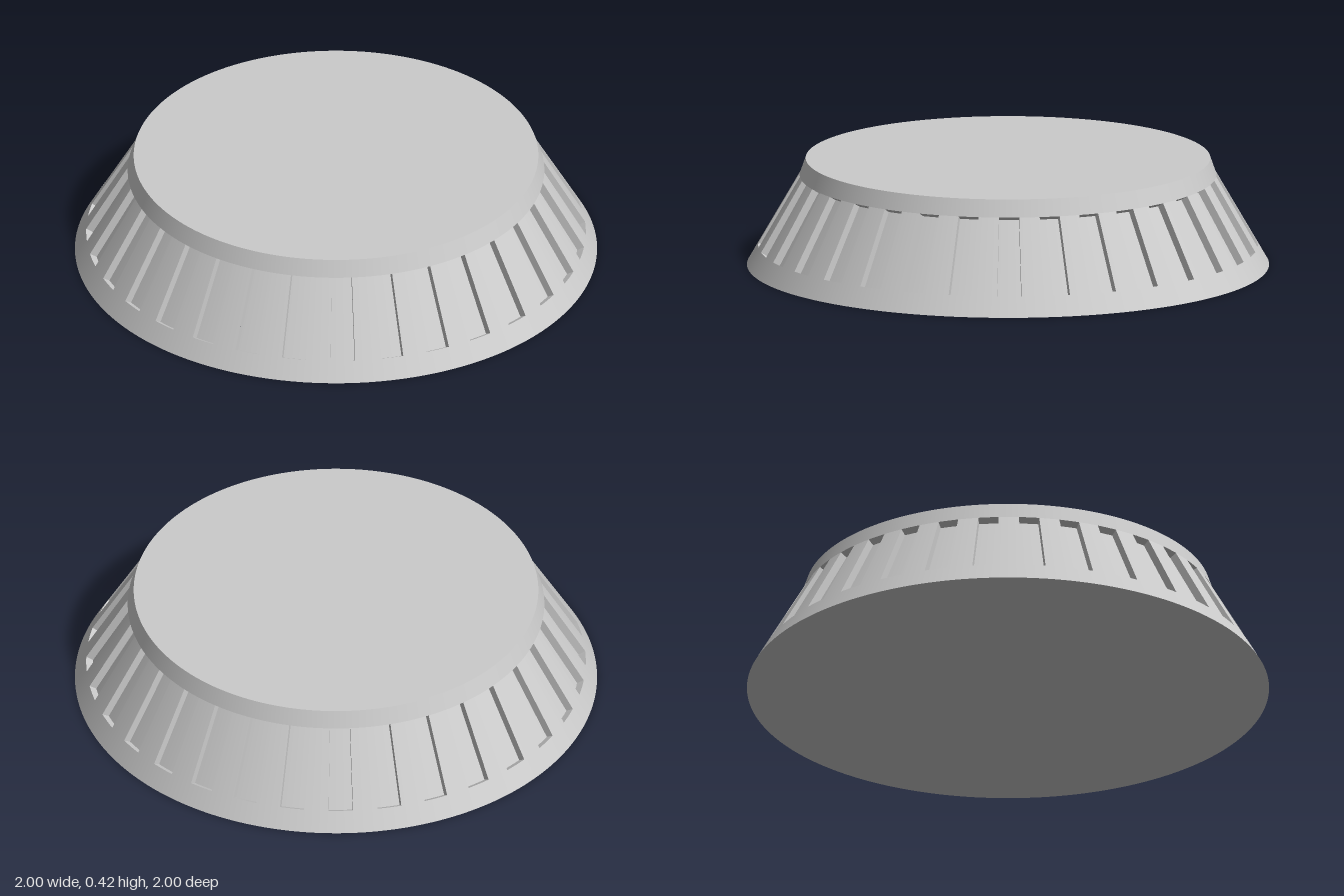
import * as THREE from 'three';
import { mergeGeometries } from 'three/addons/utils/BufferGeometryUtils.js';

const SLOTS = 32;
const PITCH = (Math.PI * 2) / SLOTS;
const SEGS = 4; // facets per half pitch
const v = (r, y) => new THREE.Vector2(r, y);

// one straight strip of the profile swept around the axis
const band = (a, b, start = 0, angle = Math.PI * 2) =>
  new THREE.LatheGeometry([a, b], Math.round((angle / PITCH) * SEGS * 2), start, angle);

export function createModel() {
  const grey = new THREE.MeshStandardMaterial({ color: 0xcccccc });
  const greyDouble = new THREE.MeshStandardMaterial({ color: 0xcccccc, side: THREE.DoubleSide });
  const model = new THREE.Group();
  const add = (name, parts, material = grey) => {
    const mesh = new THREE.Mesh(mergeGeometries(parts), material);
    mesh.name = name;
    model.add(mesh);
  };

  // profile: flared skirt with a steeper collar on top
  const foot = v(1, 0);
  const neck = v(0.798, 0.35);
  const rim = v(0.775, 0.416);
  const slope = neck.clone().sub(foot).normalize();
  const inward = v(-slope.y, slope.x).multiplyScalar(0.03);
  const low = foot.clone().lerp(neck, 0.075 / neck.y);
  const lowIn = low.clone().add(inward);
  const neckIn = neck.clone().add(inward);

  add('base', [band(v(0, 0), foot)]);
  add('lowerSkirt', [band(foot, low)]);
  add('collar', [band(neck, rim)]);
  add('topFace', [band(rim, v(0, rim.y))]);

  // ribs alternate with recessed slots of equal angular width
  const ribs = [], recesses = [], walls = [];
  const wall = new THREE.ShapeGeometry(new THREE.Shape([low, neck, neckIn, lowIn]));
  for (let i = 0; i < SLOTS; i++) {
    const a = i * PITCH;
    ribs.push(band(low, neck, a, PITCH / 2));
    // slot: bottom ledge, floor and top end
    const s = a - PITCH / 2;
    recesses.push(
      band(low, lowIn, s, PITCH / 2),
      band(lowIn, neckIn, s, PITCH / 2),
      band(neckIn, neck, s, PITCH / 2),
    );
    // slot side walls
    for (const phi of [s, a]) walls.push(wall.clone().rotateY(phi - Math.PI / 2));
  }
  add('ribs', ribs);
  add('slotRecesses', recesses);
  add('slotWalls', walls, greyDouble);
  return model;
}
